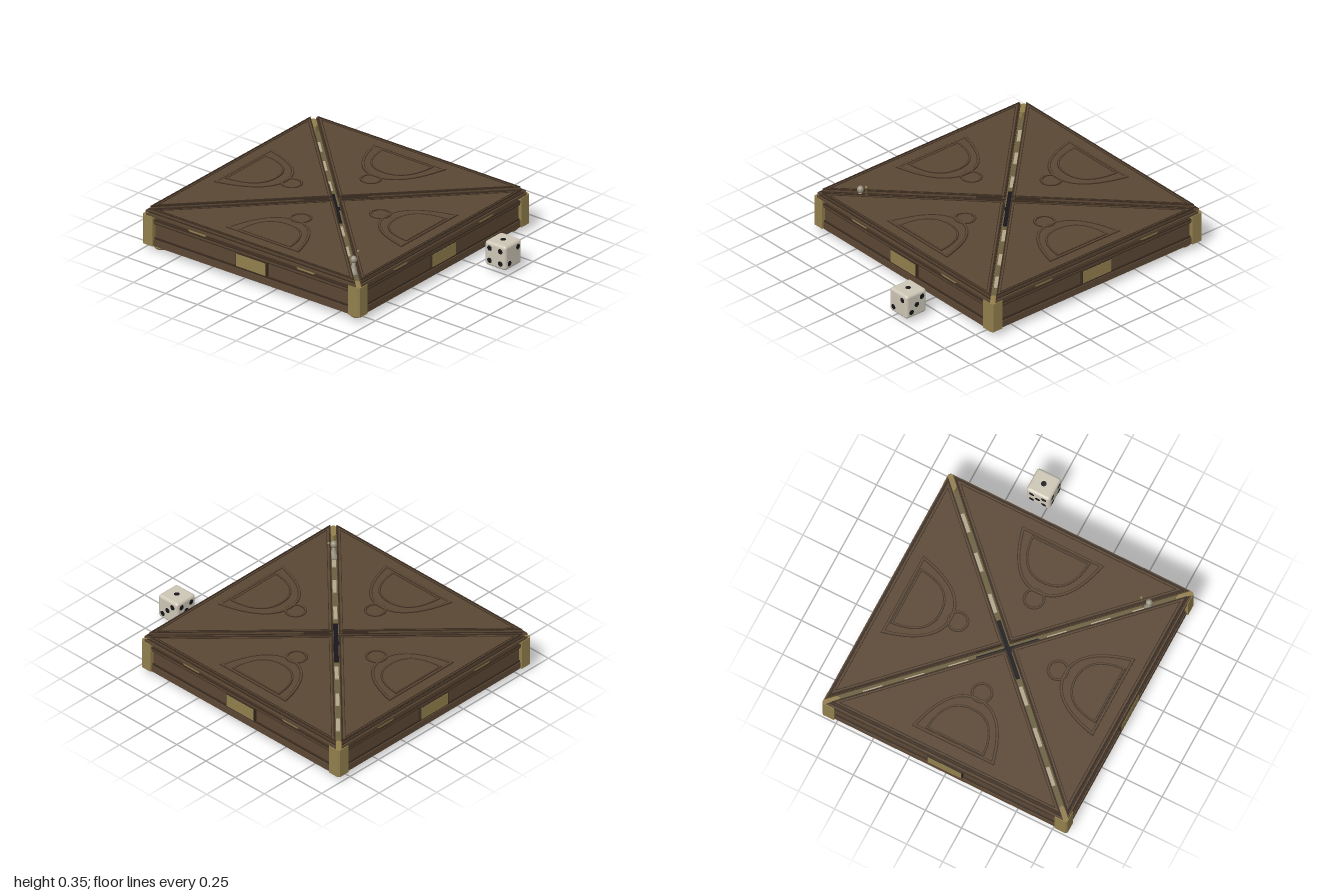
import * as THREE from 'three';
import { RoundedBoxGeometry } from 'three/addons/geometries/RoundedBoxGeometry.js';

const mat = (name, color) => Object.assign(new THREE.MeshStandardMaterial({ color }), { name });

export function createModel() {
  const wood = mat('wood', 0x5b4734);
  const dark = mat('dark wood', 0x3a2c20);
  const under = mat('base wood', 0x3f2e24);
  const brass = mat('brass', 0x927f4d);
  const olive = mat('board edge', 0x6b5f3f);
  const bone = mat('bone', 0xcdc6b6);
  const tan = mat('tile', 0xb3a68c);
  const black = mat('black', 0x17161a);
  const stone = mat('pewter', 0x97917f);

  const model = new THREE.Group();
  const box = new THREE.Group();
  box.name = 'gameBox';
  box.position.z = -0.15;
  model.add(box);

  const add = (parent, name, geo, m, x = 0, y = 0, z = 0) => {
    const mesh = new THREE.Mesh(geo, m);
    mesh.name = name;
    mesh.position.set(x, y, z);
    parent.add(mesh);
    return mesh;
  };
  const block = (parent, name, m, w, y0, y1, d, x, z) =>
    add(parent, name, new THREE.BoxGeometry(w, y1 - y0, d), m, x, (y0 + y1) / 2, z);
  // Lay a flat outline (x, z) between two heights
  const slab = (parent, name, m, pts, y0, y1, holePts) => {
    const shape = new THREE.Shape(pts);
    if (holePts) shape.holes.push(new THREE.Path(holePts));
    const geo = new THREE.ExtrudeGeometry(shape, { depth: y1 - y0, bevelEnabled: false });
    geo.rotateX(Math.PI / 2);
    return add(parent, name, geo, m, 0, y1, 0);
  };
  const V = (x, y) => new THREE.Vector2(x, y);

  // Quarter of the square, held g away from both diagonals
  const tri = (half, g) => {
    const k = g * Math.SQRT2;
    return [V(0, k), V(half - k, half), V(k - half, half)];
  };
  // D-shaped arch: straight base, curved towards the centre
  const arch = (hw, base, apex, fullness) => {
    const c = new THREE.QuadraticBezierCurve(V(hw, base), V(hw * fullness, apex), V(0, apex));
    const right = c.getPoints(14);
    const left = right.slice(0, -1).reverse().map((p) => V(-p.x, p.y));
    return [...right, ...left];
  };
  const circle = (r, w) => Array.from({ length: 32 }, (_, i) =>
    V(r * Math.cos(i * Math.PI / 16), w + r * Math.sin(i * Math.PI / 16)));
  // Raised ridge with dark edges; outline(t) gives the shape inset by t
  const ridge = (parent, name, outline, width) => {
    slab(parent, name + 'Edge', dark, outline(0), 0.27, 0.278, outline(width));
    slab(parent, name, wood, outline(0.005), 0.27, 0.281, outline(width - 0.005));
  };

  // Base and inner board
  block(box, 'bottom', under, 1.64, 0.04, 0.06, 1.64, 0, 0);
  block(box, 'innerBoard', olive, 1.6, 0.17, 0.2, 1.6, 0, 0);

  const post = [V(0.765, 0.765), V(0.85, 0.765), V(0.85, 0.838), V(0.838, 0.85), V(0.765, 0.85)];
  const footProfile = [V(0, 0), V(0.034, 0), V(0.047, 0.012), V(0.049, 0.022), V(0.036, 0.036), V(0.03, 0.045), V(0, 0.045)];
  const hinge = new THREE.Shape([V(-0.06, -0.013), V(0.06, -0.013), V(0.073, -0.004),
    V(0.073, 0.006), V(0.055, 0.013), V(-0.055, 0.013), V(-0.073, 0.006), V(-0.073, -0.004)]);
  const hingeGeo = new THREE.ExtrudeGeometry(hinge, { depth: 0.025, bevelEnabled: false });

  for (let i = 0; i < 4; i++) {
    const side = new THREE.Group();
    side.name = 'side' + (i + 1);
    side.rotation.y = i * Math.PI / 2;
    box.add(side);

    // Wall with mouldings
    block(side, 'wallPanel', wood, 1.56, 0.05, 0.215, 0.03, 0, 0.81);
    block(side, 'wallPlinth', wood, 1.56, 0.04, 0.085, 0.04, 0, 0.82);
    block(side, 'wallGroove', dark, 1.56, 0.085, 0.097, 0.036, 0, 0.816);
    block(side, 'wallMoulding', dark, 1.56, 0.19, 0.2, 0.038, 0, 0.818);
    block(side, 'wallRim', wood, 1.56, 0.2, 0.213, 0.042, 0, 0.82);
    block(side, 'wallRimCap', dark, 1.56, 0.213, 0.22, 0.044, 0, 0.821);
    block(side, 'plateFrame', dark, 0.242, 0.1, 0.195, 0.02, 0, 0.836);
    block(side, 'brassPlate', brass, 0.23, 0.106, 0.189, 0.024, 0, 0.837);

    // Corner post and foot
    slab(side, 'cornerPost', brass, post, 0.04, 0.24);
    add(side, 'foot', new THREE.LatheGeometry(footProfile, 20), brass, 0.765, 0, 0.765);
    for (const s of [-1, 1]) add(side, 'hinge', hingeGeo, brass, s * 0.425, 0.238, 0.815);

    // Triangular lid leaf
    slab(side, 'lidLower', wood, tri(0.845, 0.017), 0.24, 0.256);
    slab(side, 'lidStep', dark, tri(0.836, 0.019), 0.256, 0.262);
    slab(side, 'lidUpper', wood, tri(0.826, 0.022), 0.262, 0.274);
    slab(side, 'lidBorder', dark, tri(0.826, 0.022), 0.27, 0.28, tri(0.819, 0.029));
    slab(side, 'lidInnerBorder', dark, tri(0.808, 0.04), 0.27, 0.277, tri(0.803, 0.044));

    // Carved emblem
    ridge(side, 'outerArch', (t) => arch(0.285 - t * 1.4, 0.735 - t, 0.385 + t, 0.72), 0.02);
    ridge(side, 'innerArch', (t) => arch(0.203 - t * 1.1, 0.712 - t, 0.46 + t, 0.92), 0.016);
    ridge(side, 'emblemRing', (t) => circle(0.07 - t, 0.347), 0.017);

    // Tiles and centre strip along the diagonal slot
    const slot = new THREE.Group();
    slot.name = 'slot';
    slot.rotation.y = Math.PI / 4;
    side.add(slot);
    for (const [a, b] of [[0.18, 0.27], [0.38, 0.47], [0.57, 0.66]]) {
      block(slot, 'tile', tan, 0.024, 0.198, 0.206, (b - a) * Math.SQRT2, 0, (a + b) / Math.SQRT2);
    }
    block(slot, 'centreStrip', black, 0.03, 0.198, 0.207, 0.2, 0, 0.1);
    for (const s of [-1, 1]) block(slot, 'slotRail', dark, 0.007, 0.262, 0.281, 0.16, s * 0.022, 0.12);
  }

  // Playing piece standing in the slot
  const figure = new THREE.Group();
  figure.name = 'playingPiece';
  figure.position.set(-0.643, 0.2, 0.495);
  model.add(figure);
  const body = [V(0, 0), V(0.033, 0), V(0.033, 0.014), V(0.024, 0.035), V(0.012, 0.06), V(0.01, 0.08), V(0, 0.085)];
  add(figure, 'pieceBody', new THREE.LatheGeometry(body, 20), stone);
  add(figure, 'pieceHead', new THREE.SphereGeometry(0.021, 18, 12), stone, 0, 0.101, 0).scale.y = 1.15;
  const staffPath = new THREE.LineCurve3(new THREE.Vector3(0.037, 0, -0.012), new THREE.Vector3(0.051, 0.135, -0.005));
  add(figure, 'staff', new THREE.TubeGeometry(staffPath, 1, 0.004, 8), olive);
  add(figure, 'staffKnob', new THREE.SphereGeometry(0.008, 12, 8), brass, 0.051, 0.138, -0.005);

  // Die
  const die = new THREE.Group();
  die.name = 'die';
  die.position.set(0.307, 0.118, 0.917);
  model.add(die);
  add(die, 'dieBody', new RoundedBoxGeometry(0.165, 0.165, 0.165, 4, 0.02), bone);
  const o = 0.042;
  const two = [[-o, -o], [o, o]];
  const four = [...two, [-o, o], [o, -o]];
  const faces = [
    [[0, 0, 0], two],
    [[0, Math.PI, 0], [...four, [0, 0]]],
    [[0, Math.PI / 2, 0], [...two, [0, 0]]],
    [[0, -Math.PI / 2, 0], four],
    [[-Math.PI / 2, 0, 0], [[0, 0]]],
    [[Math.PI / 2, 0, 0], [...four, [-o, 0], [o, 0]]],
  ];
  const pip = new THREE.CylinderGeometry(0.0175, 0.0175, 0.004, 20).rotateX(Math.PI / 2);
  for (const [rot, spots] of faces) {
    const face = new THREE.Group();
    face.name = 'dieFace';
    face.rotation.set(...rot);
    die.add(face);
    for (const [x, y] of spots) add(face, 'pip', pip, black, x, y, 0.0815);
  }
  return model;
}
